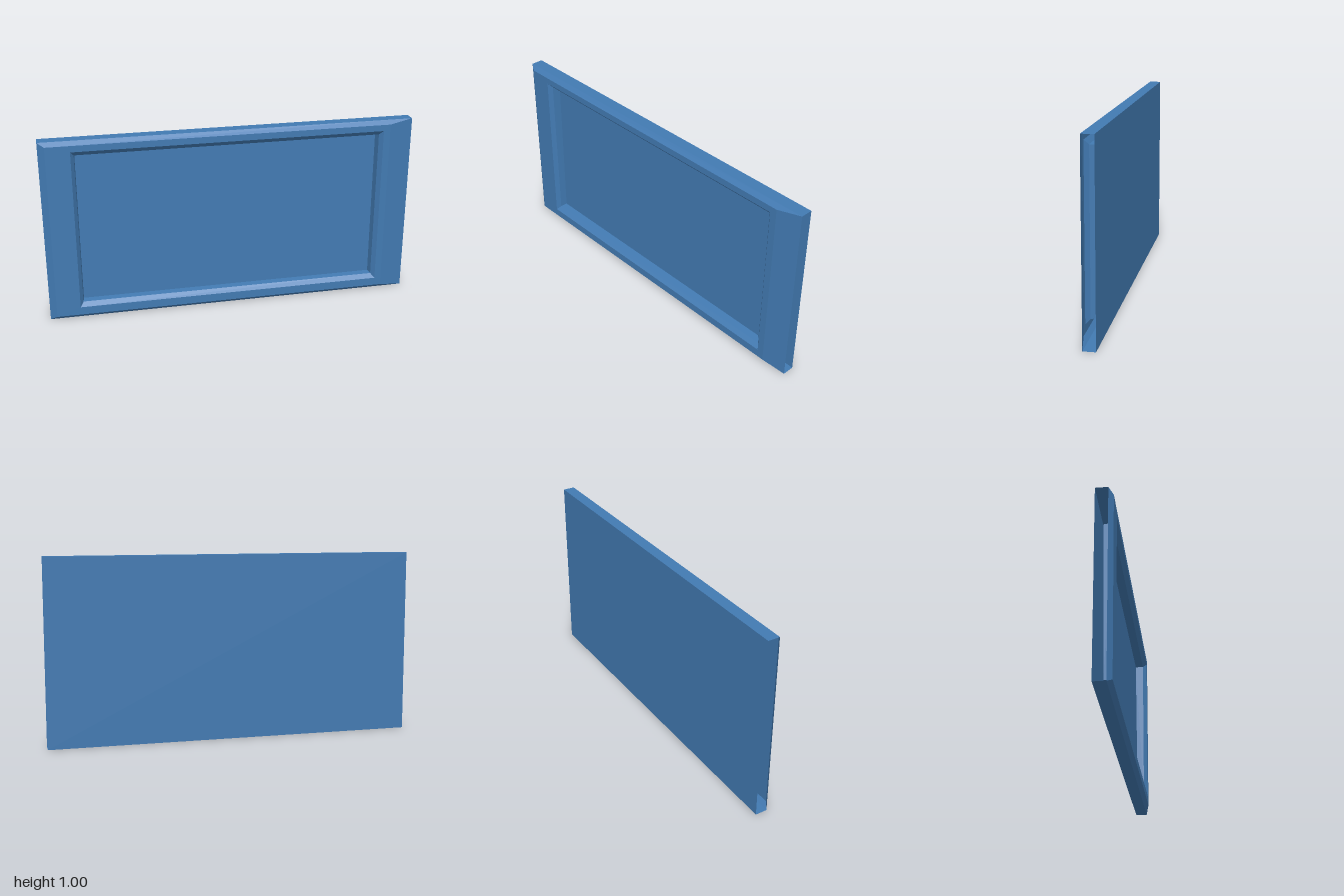
import * as THREE from 'three';

// Rectangular section as four corners, counter-clockwise seen from the front.
// zBottom and zTop differ where the section leans.
function rect(x0, x1, y0, y1, zBottom, zTop = zBottom) {
  return [[x0, y0, zBottom], [x1, y0, zBottom], [x1, y1, zTop], [x0, y1, zTop]];
}

function quadGeometry(quads) {
  const points = quads.flatMap(([a, b, c, d]) => [a, b, c, a, c, d]).flat();
  const geometry = new THREE.BufferGeometry();
  geometry.setAttribute('position', new THREE.Float32BufferAttribute(points, 3));
  geometry.computeVertexNormals();
  return geometry;
}

// Joins two sections along the chosen sides: 0 bottom, 1 right, 2 top, 3 left.
function band(a, b, sides = [0, 1, 2, 3]) {
  return quadGeometry(sides.map((i) => {
    const j = (i + 1) % 4;
    return [a[i], a[j], b[j], b[i]];
  }));
}

export function createModel() {
  const blue = new THREE.MeshStandardMaterial({ color: 0x427ab2, side: THREE.DoubleSide });
  blue.name = 'blue';

  const model = new THREE.Group();
  model.name = 'panelFrame';
  const add = (name, geometry) => {
    const mesh = new THREE.Mesh(geometry, blue);
    mesh.name = name;
    model.add(mesh);
  };

  // Sections from the back, round the front rim and down into the recess
  const back = rect(-1, 1, 0, 1, -0.043);
  const shoulder = rect(-1, 1, 0, 1, 0.021);
  const rim = rect(-0.965, 0.87, 0.021, 0.979, 0.043);
  const opening = rect(-0.838, 0.834, 0.065, 0.945, 0.043);
  const throat = rect(-0.82, 0.815, 0.087, 0.921, 0.021);
  const pocket = rect(-0.815, 0.81, 0.09, 0.918, -0.017, -0.024);

  add('backPanel', quadGeometry([[...back].reverse()]));
  add('topAndBottomWalls', band(back, shoulder, [0, 2])); // ends stay open
  add('outerBevel', band(shoulder, rim));
  add('frontFace', band(rim, opening));
  add('innerBevel', band(opening, throat));
  add('recessWalls', band(throat, pocket));
  add('recessFloor', quadGeometry([pocket]));

  return model;
}
